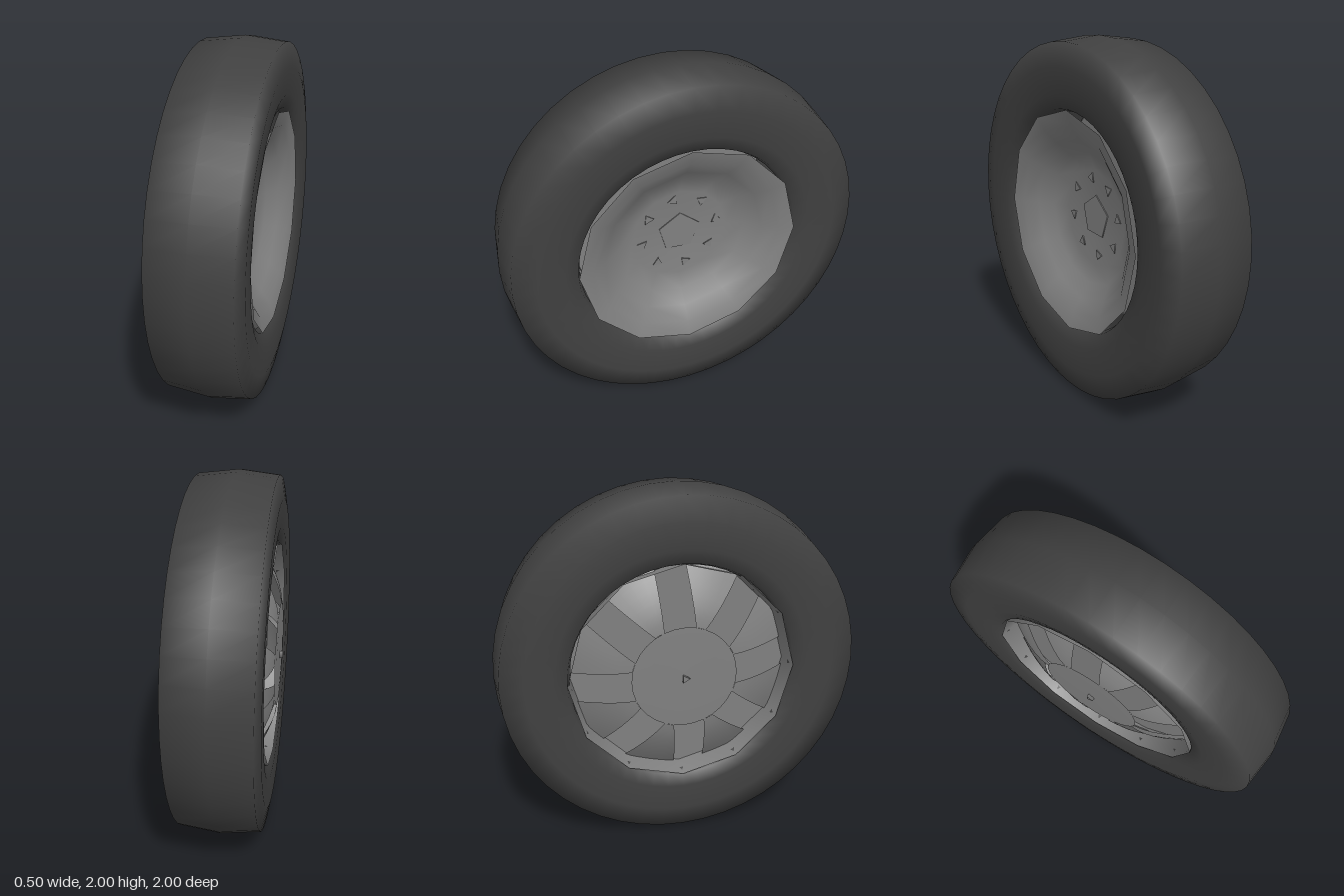
import * as THREE from 'three';

const tyreMat = new THREE.MeshStandardMaterial({ color: 0x404040, side: THREE.DoubleSide });
tyreMat.name = 'dark rubber';
const rimMat = new THREE.MeshStandardMaterial({ color: 0x808080, side: THREE.DoubleSide });
rimMat.name = 'grey metal';

// Profile points are [radius, x]; the lathe axis is laid along x
function turned(name, profile, sides, material) {
  const geo = new THREE.LatheGeometry(profile.map(([r, x]) => new THREE.Vector2(r, x)), sides);
  geo.rotateZ(-Math.PI / 2);
  const mesh = new THREE.Mesh(geo, material);
  mesh.name = name;
  return mesh;
}

// Short prism with its axis along x
function stud(name, radius, length, sides, x, y, z, turn = 0) {
  const geo = new THREE.CylinderGeometry(radius, radius, length, sides);
  geo.rotateZ(-Math.PI / 2);
  geo.rotateX(turn);
  const mesh = new THREE.Mesh(geo, rimMat);
  mesh.position.set(x, y, z);
  mesh.name = name;
  return mesh;
}

// Pressed sheet spoke, widening towards the rim and falling away from the centre disc
function spokeGeometry() {
  const geo = new THREE.PlaneGeometry(1, 1, 4, 6);
  const p = geo.attributes.position;
  for (let i = 0; i < p.count; i++) {
    const t = p.getY(i) + 0.5;
    const r = 0.29 + 0.31 * t;
    const half = Math.PI / 8 - Math.asin(0.085 / r);
    const a = p.getX(i) * 2 * half;
    p.setXYZ(i, -0.232 + 0.13 * t ** 1.6, r * Math.cos(a), r * Math.sin(a));
  }
  geo.computeVertexNormals();
  return geo;
}

export function createModel() {
  const model = new THREE.Group();
  model.name = 'wheel';
  const wheel = new THREE.Group();
  wheel.name = 'wheelAssembly';
  wheel.position.y = 1;
  model.add(wheel);

  // Tyre with a slightly crowned tread
  wheel.add(turned('tyre', [
    [0.61, -0.16], [0.625, -0.2], [0.7, -0.218], [0.85, -0.225],
    [0.975, -0.203], [1, 0.01], [0.975, 0.225],
    [0.85, 0.248], [0.7, 0.238], [0.625, 0.21], [0.61, 0.17],
  ], 48, tyreMat));

  // Rim: barrel and recessed floor outside, dished face inside
  wheel.add(turned('rimBarrel', [[0.6, -0.08], [0.61, -0.15], [0.625, -0.21]], 12, rimMat));
  wheel.add(turned('windowFloor', [[0, -0.09], [0.605, -0.09]], 12, rimMat));
  wheel.add(turned('innerDish', [
    [0.625, 0.22], [0.54, 0.195], [0.46, 0.14], [0.38, 0.08], [0.28, 0.04], [0, 0.03],
  ], 12, rimMat));

  // Centre disc and the eight spokes between the windows
  wheel.add(turned('centreDisc', [[0, -0.236], [0.2, -0.235], [0.29, -0.232]], 32, rimMat));
  const spokeGeo = spokeGeometry();
  for (let i = 0; i < 8; i++) {
    const spoke = new THREE.Mesh(spokeGeo, rimMat);
    spoke.rotation.x = 0.305 + i * Math.PI / 4;
    spoke.name = 'spoke';
    wheel.add(spoke);
  }
  wheel.add(stud('centreNub', 0.025, 0.03, 3, -0.24, 0, 0));

  // Inner hub plate and ring of eight nuts
  wheel.add(stud('innerHub', 0.125, 0.02, 5, 0.03, 0.01, 0, -1.62));
  for (let i = 0; i < 8; i++) {
    const a = i * Math.PI / 4 + 0.16;
    wheel.add(stud('wheelNut', 0.033, 0.02, 3, 0.034, 0.01 + 0.222 * Math.cos(a), 0.222 * Math.sin(a), a));
  }
  return model;
}
